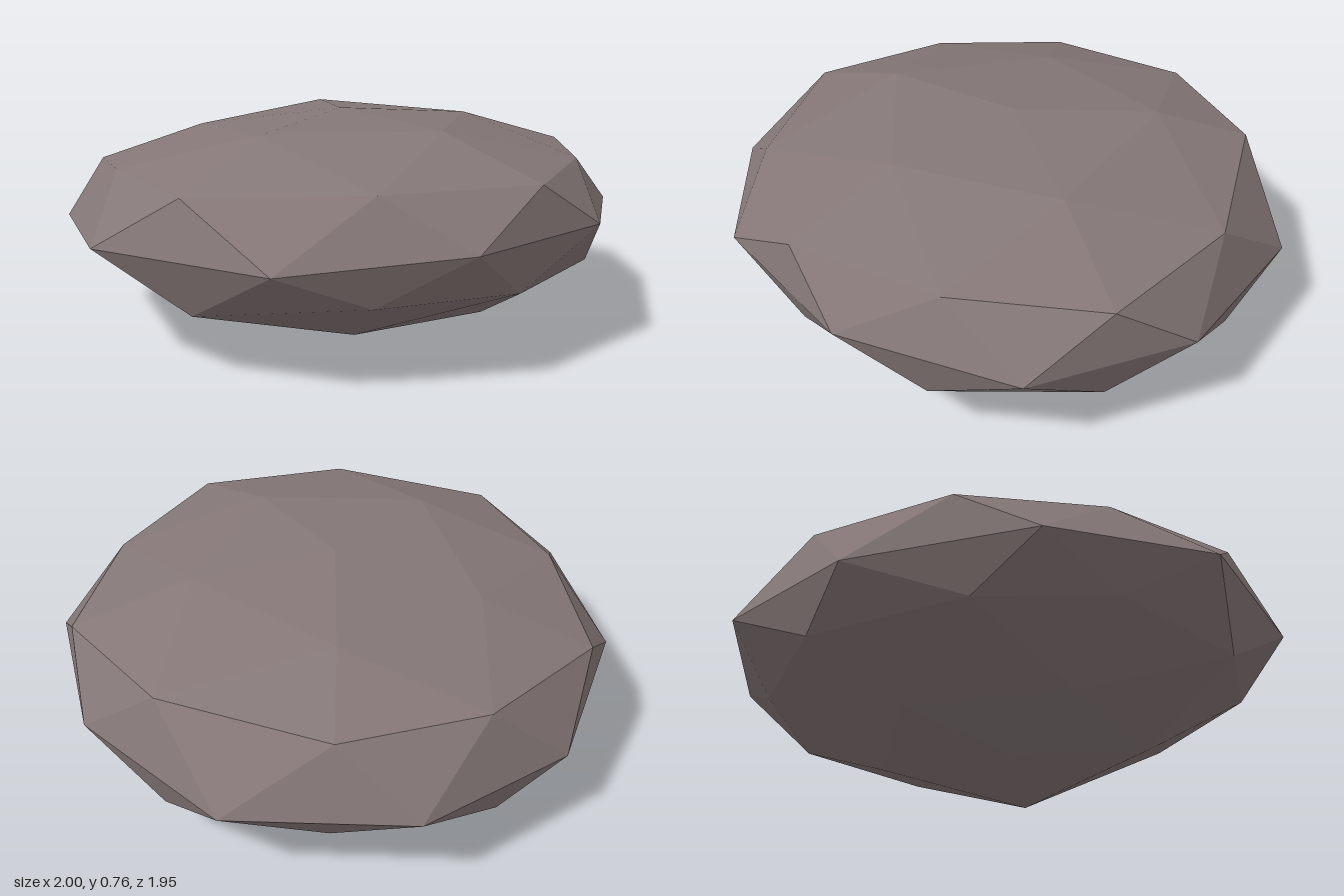
import * as THREE from 'three';

// Rings of the stone, each running from +x towards +z.
const equator = [
  [1, .45, -.07], [.85, .46, .53], [.38, .42, .94], [-.31, .41, .97], [-.79, .38, .6],
  [-1, .34, 0], [-.85, .36, -.59], [-.35, .35, -.98], [.29, .38, -.98], [.8, .4, -.66],
];
const upper = {
  pole: [-.01, .76, -.04],
  inner: [[.49, .74, .1], [.01, .735, .49], [-.52, .68, .15], [-.36, .715, -.43], [.29, .715, -.46]],
  outer: [
    [.9, .62, .19], [.56, .63, .64], [0, .6, .89], [-.47, .6, .67], [-.87, .54, .33],
    [-.85, .59, -.25], [-.58, .6, -.69], [0, .6, -.9], [.53, .585, -.81], [.8, .605, -.35],
  ],
};
const lower = {
  pole: [0, .03, 0],
  inner: [[.33, .07, .4], [-.27, .085, .42], [-.5, .065, -.12], [-.03, .06, -.55], [.5, 0, -.23]],
  outer: [
    [.58, .29, .69], [.02, .215, .87], [-.47, .265, .7], [-.8, .21, .35], [-.88, .19, -.22],
    [-.55, .2, -.68], [-.04, .2, -.93], [.48, .18, -.76], [.86, .24, -.33], [.85, .26, .22],
  ],
};

// Facets from a pole out to the equator; shift lines the outer ring up with the equator.
function halfStone({ pole, inner, outer }, shift, flip) {
  const positions = [];
  const tri = (a, b, c) => positions.push(...a, ...(flip ? c : b), ...(flip ? b : c));
  const eq = (k) => equator[(k + shift) % 10];
  for (let i = 0; i < 5; i++) {
    const a = inner[i], b = inner[(i + 1) % 5];
    const [p, q, r] = [outer[2 * i], outer[2 * i + 1], outer[(2 * i + 2) % 10]];
    tri(pole, b, a);
    tri(a, b, q);
    tri(a, q, p);
    tri(b, r, q);
  }
  for (let j = 0; j < 10; j++) {
    tri(outer[j], eq(j + 1), eq(j));
    tri(outer[j], outer[(j + 1) % 10], eq(j + 1));
  }
  return positions;
}

export function createModel() {
  const stone = new THREE.MeshStandardMaterial({ color: 0x857777, flatShading: true });
  stone.name = 'warm grey stone';

  const geometry = new THREE.BufferGeometry();
  geometry.setAttribute('position', new THREE.Float32BufferAttribute(
    [...halfStone(upper, 0, false), ...halfStone(lower, 1, true)], 3));
  geometry.computeVertexNormals();

  const rock = new THREE.Mesh(geometry, stone);
  rock.name = 'rock';
  const group = new THREE.Group();
  group.name = 'flatRock';
  group.add(rock);
  return group;
}
